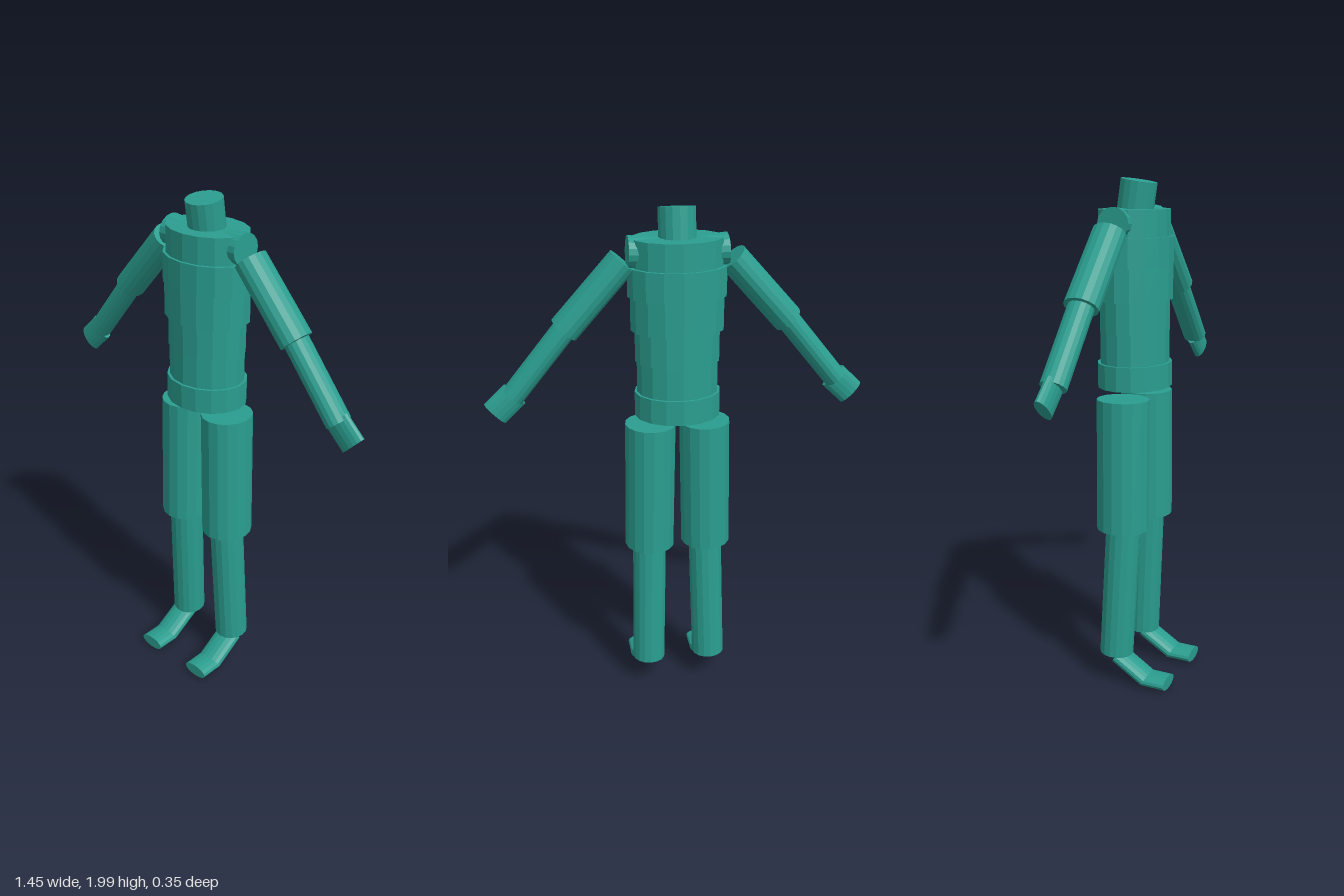
import * as THREE from 'three';

const SIDES = 16;
const Z = -0.034; // depth of the body's centre line
const teal = new THREE.MeshStandardMaterial({ color: 0x2a9d8f, flatShading: true });
teal.name = 'teal';

// Elliptical cylinder from a to b. Each radius pair is [across, along wide axis].
function segment(name, a, b, [across, wide], endScale = 1, wideAxis = [0, 0, 1]) {
  const start = new THREE.Vector3(...a);
  const end = new THREE.Vector3(...b);
  const y = end.clone().sub(start);
  const length = y.length();
  y.normalize();
  const x = new THREE.Vector3().crossVectors(y, new THREE.Vector3(...wideAxis)).normalize();
  const z = new THREE.Vector3().crossVectors(x, y);

  const geometry = new THREE.CylinderGeometry(endScale, 1, length, SIDES);
  geometry.scale(across, 1, wide);
  geometry.applyMatrix4(new THREE.Matrix4().makeBasis(x, y, z));
  const mesh = new THREE.Mesh(geometry, teal);
  mesh.name = name;
  mesh.position.addVectors(start, end).multiplyScalar(0.5);
  return mesh;
}

function createTorso() {
  const torso = new THREE.Group();
  torso.name = 'torso';
  // name, bottom, top, half width, half depth
  const sections = [
    ['pelvis', 1.215, 1.31, 0.164, 0.141],
    ['abdomen', 1.31, 1.43, 0.154, 0.13],
    ['waist', 1.43, 1.55, 0.16, 0.13],
    ['lowerChest', 1.55, 1.675, 0.175, 0.141],
    ['upperChest', 1.675, 1.785, 0.184, 0.141],
    ['shoulderYoke', 1.785, 1.885, 0.17, 0.13],
  ];
  for (const [name, y0, y1, w, d] of sections) {
    torso.add(segment(name, [0, y0, Z], [0, y1, Z], [w, d]));
  }
  // The neck leans slightly forward
  torso.add(segment('neck', [0, 1.865, -0.034], [0, 1.988, -0.015], [0.069, 0.069]));
  return torso;
}

// s = 1 for the left side, -1 for the right
function createArm(s) {
  const arm = new THREE.Group();
  arm.name = s > 0 ? 'leftArm' : 'rightArm';
  const shoulder = [s * 0.2, 1.807, Z - 0.004];
  const elbow = [s * 0.418, 1.565, Z - 0.004];
  const wrist = [s * 0.61, 1.33, Z - 0.004];
  const fingertips = [s * 0.687, 1.257, Z - 0.004];
  arm.add(
    segment('collar', [s * 0.02, 1.832, Z], [s * 0.182, 1.838, Z], [0.05, 0.054], 1.17),
    segment('upperArm', shoulder, elbow, [0.056, 0.065], 1.02),
    segment('forearm', elbow, [s * 0.618, 1.322, Z - 0.004], [0.044, 0.05]),
    segment('hand', wrist, fingertips, [0.054, 0.026]),
  );
  return arm;
}

function createLeg(s) {
  const leg = new THREE.Group();
  leg.name = s > 0 ? 'leftLeg' : 'rightLeg';
  const sideways = [1, 0, 0];
  leg.add(
    segment('thigh', [s * 0.105, 1.178, Z], [s * 0.114, 0.657, Z], [0.103, 0.098]
      .slice().reverse()),
    segment('shin', [s * 0.114, 0.66, -0.032], [s * 0.127, 0.122, -0.058], [0.067, 0.068]),
    segment('foot', [s * 0.131, 0.112, -0.045], [s * 0.132, 0.032, 0.085], [0.03, 0.055], 1, sideways),
    segment('toes', [s * 0.132, 0.034, 0.08], [s * 0.132, 0.034, 0.175], [0.026, 0.055], 1, sideways),
  );
  return leg;
}

export function createModel() {
  const model = new THREE.Group();
  model.name = 'jointedFigure';
  model.add(createTorso());
  for (const s of [1, -1]) model.add(createArm(s), createLeg(s));
  return model;
}
